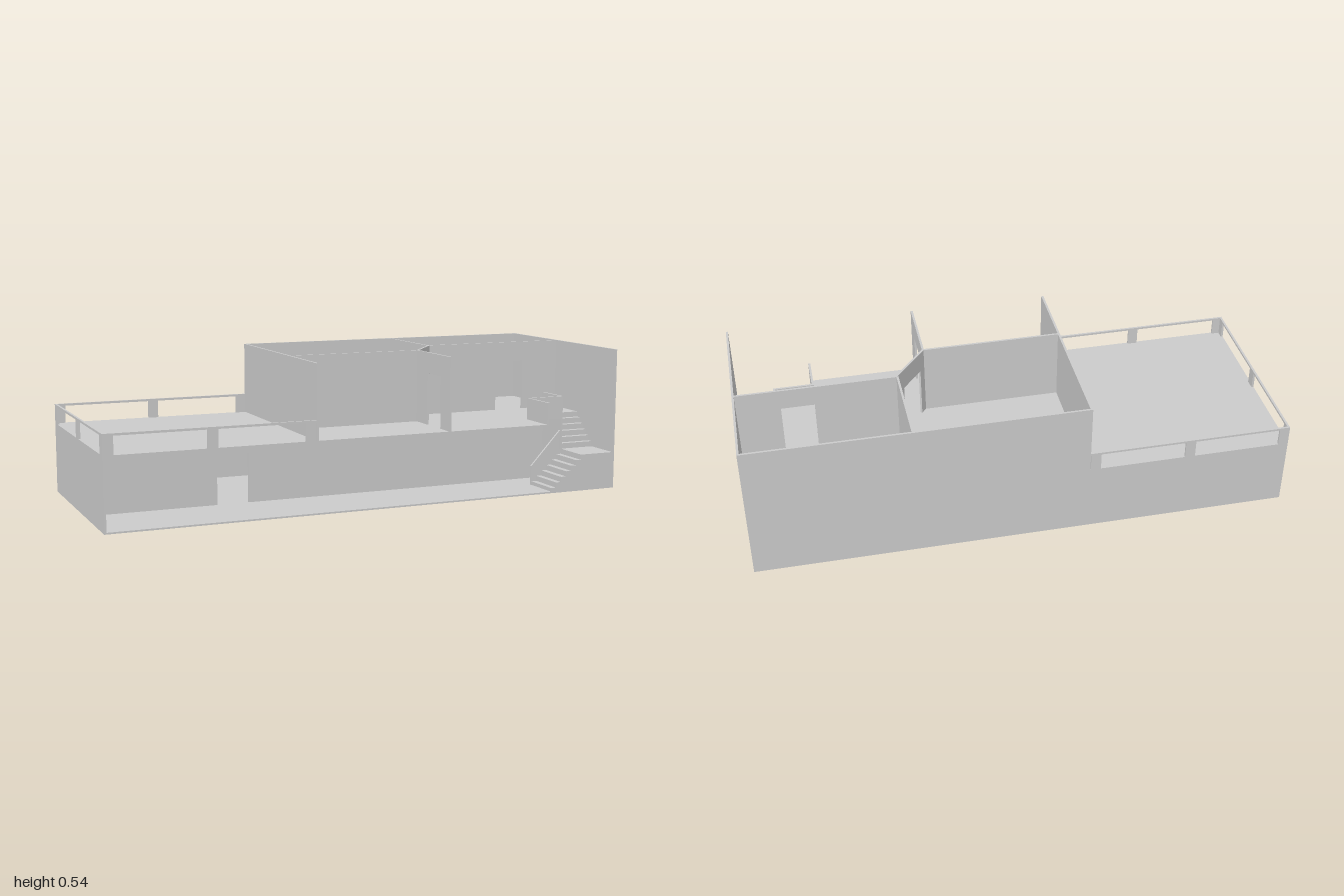
import * as THREE from 'three';

const T = 0.008;      // wall thickness
const L1 = 0.265;     // upper floor level
const TOP = 0.538;    // top of upper walls
const X = 1, Z = 0.383;

export function createModel() {
  const house = new THREE.Group();
  house.name = 'openHouse';
  const mat = new THREE.MeshStandardMaterial({ color: 0xcccccc, flatShading: true });

  const add = (name, geo, parent = house) => {
    const mesh = new THREE.Mesh(geo, mat);
    mesh.name = name;
    parent.add(mesh);
    return mesh;
  };

  // Box given by its minimum and maximum corners
  const box = (name, x0, x1, y0, y1, z0, z1, parent) => {
    const g = new THREE.BoxGeometry(x1 - x0, y1 - y0, z1 - z0);
    g.translate((x0 + x1) / 2, (y0 + y1) / 2, (z0 + z1) / 2);
    return add(name, g, parent);
  };

  const polygon = (pts) => new THREE.Shape(pts.map(([a, b]) => new THREE.Vector2(a, b)));

  // Upright wall along a plan line, with an optional doorway [start, end, height]
  const wall = (name, [x0, z0], [x1, z1], y0, y1, door) => {
    const len = Math.hypot(x1 - x0, z1 - z0), h = y1 - y0;
    const pts = [[0, 0]];
    if (door) {
      const [a, b, dh] = door;
      pts.push([a, 0], [a, dh], [b, dh], [b, 0]);
    }
    pts.push([len, 0], [len, h], [0, h]);
    const g = new THREE.ExtrudeGeometry(polygon(pts), { depth: T, bevelEnabled: false });
    g.translate(0, 0, -T / 2);
    const m = add(name, g);
    m.position.set(x0, y0, z0);
    m.rotation.y = Math.atan2(z0 - z1, x1 - x0);
    return m;
  };

  // Floors; the upper one is cut away over the stairs
  box('groundFloor', -X, X, 0, 0.006, -Z, Z);
  const slab = new THREE.ExtrudeGeometry(polygon([
    [-X, -Z], [X, -Z], [X, 0.11], [0.85, 0.11], [0.85, 0.24], [0.7, 0.24], [0.7, Z], [-X, Z],
  ]), { depth: 0.006, bevelEnabled: false });
  slab.rotateX(Math.PI / 2);
  slab.translate(0, L1, 0);
  add('upperFloor', slab);

  // Outer walls
  const e = T / 2;
  wall('leftWall', [-X + e, -Z], [-X + e, Z], 0, L1);
  wall('lowerBackWall', [-X, -Z + e], [X, -Z + e], 0, L1);
  wall('upperBackWall', [-0.24, -Z + e], [X, -Z + e], L1, TOP);
  wall('rightWall', [X - e, -Z], [X - e, Z], 0, TOP);
  wall('terraceWall', [-0.236, -Z], [-0.236, Z], L1, TOP);

  // Side entrance leaf, showing on both faces of the left wall
  box('entranceDoor', -X, -X + T + 0.003, 0.006, 0.172, 0.205, 0.31);

  // Inner walls
  wall('lowerInnerWall', [-X, 0.11], [X, 0.11], 0, L1 - 0.006, [0.48, 0.6, 0.19]);
  wall('frontRoomWall', [-0.236, 0.11], [0.286, 0.11], L1, TOP);
  wall('frontRoomSideWall', [0.286, 0.11], [0.286, Z], L1, TOP, [0.09, 0.2, 0.195]);
  wall('diagonalWall', [0.286, 0.11], [0.408, -0.04], L1, TOP, [0.03, 0.15, 0.195]);
  wall('backRoomWall', [0.408, -0.04], [X, -0.04], L1, TOP, [0.302, 0.424, 0.195]);
  wall('backRoomSideWall', [0.4, -Z], [0.404, -0.04], L1, TOP);

  // Terrace railing: thin rails on flat posts
  const railing = new THREE.Group();
  railing.name = 'terraceRailing';
  house.add(railing);
  const R0 = 0.33, R1 = 0.338;
  for (const z of [-Z, Z - T]) {
    box('rail', -X, -0.236, R0, R1, z, z + T, railing);
    for (const x of [-X, -0.638, -0.28]) box('post', x, x + 0.038, L1, R0, z, z + T, railing);
  }
  box('sideRail', -X, -X + T, R0, R1, -Z, Z, railing);
  for (const z of [-Z, -0.019, Z - 0.038]) box('sidePost', -X, -X + T, L1, R0, z, z + 0.038, railing);

  // Stairs: a flight along x, a landing, then a flight towards the back
  const stairs = new THREE.Group();
  stairs.name = 'stairs';
  house.add(stairs);
  const LAND = 0.14;
  for (let i = 0; i < 6; i++) {
    const w = 0.13 / 6;
    const x = 0.72 + i * w;
    box('lowerStep', x, x + w, 0, (LAND * (i + 1)) / 7, 0.24, Z, stairs);
    const z = 0.24 - i * w;
    box('upperStep', 0.85, X - T, 0, LAND + ((L1 - LAND) * (i + 1)) / 6, z - w, z, stairs);
  }
  box('landing', 0.85, X - T, 0, LAND, 0.24, Z, stairs);

  // Sloping parapet beside the lower flight
  const slope = new THREE.ExtrudeGeometry(
    polygon([[0.718, 0], [0.85, 0], [0.85, 0.22], [0.718, 0.08]]),
    { depth: T, bevelEnabled: false });
  slope.translate(0, 0, 0.24 - T);
  add('stairParapet', slope, stairs);

  // Parapets around the stair opening
  const P = 0.348;
  wall('openingParapet', [0.7, 0.24], [0.7, Z], L1 - 0.006, P);
  wall('openingParapet', [0.696, 0.24], [0.85, 0.24], L1 - 0.006, P);
  wall('openingParapet', [0.848, 0.105], [0.848, 0.244], LAND, P);

  return house;
}
